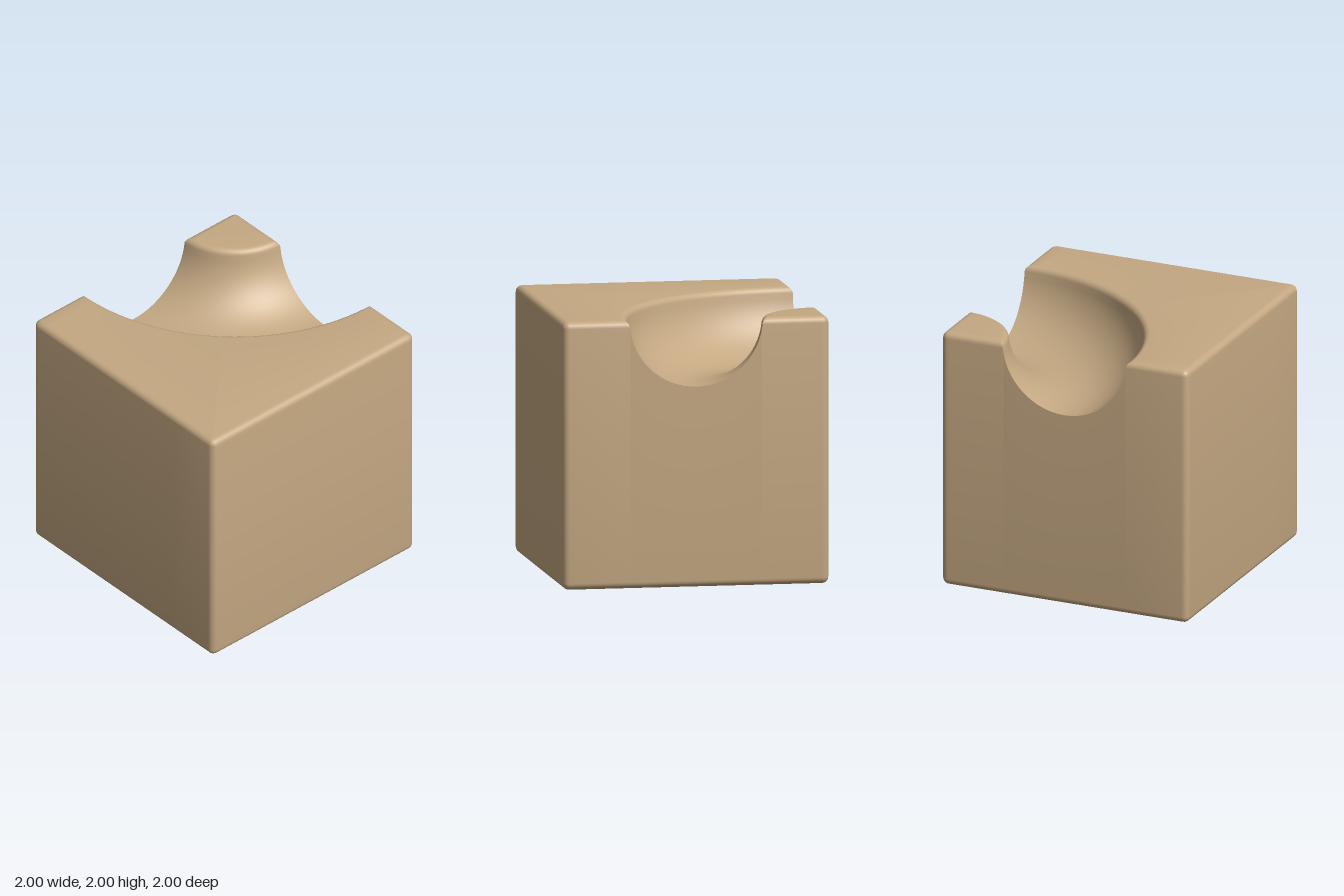
import * as THREE from 'three';
import { toCreasedNormals } from 'three/addons/utils/BufferGeometryUtils.js';

const EDGE = 0.05;                 // rounding of block edges and groove lips
const R = 0.5;                     // groove radius; its centre line is a quarter circle of radius 1
const LIP = Math.sqrt((R + EDGE) ** 2 - EDGE ** 2);   // offset where the lip meets the flat top
const WALL = (R * LIP) / (R + EDGE);                  // offset where the lip meets the groove

// Height of the groove cut at distance r from the back corner
function cutHeight(r) {
  const o = Math.abs(r - 1);
  if (o >= LIP - 1e-9) return Infinity;
  if (o > WALL) return 2 - EDGE + Math.sqrt(EDGE ** 2 - (LIP - o) ** 2);
  return 2 - Math.sqrt(R * R - o * o);
}

// Offsets from the groove centre line, from its bottom out to the lip
function grooveOffsets() {
  const list = [];
  const tilt = Math.asin(EDGE / (R + EDGE));
  for (let i = 0; i <= 16; i++) list.push(R * Math.sin((i / 16) * (Math.PI / 2 - tilt)));
  for (let i = 1; i <= 6; i++) {
    const a = Math.PI - tilt + (i / 6) * (tilt - Math.PI / 2);
    list.push(LIP + EDGE * Math.cos(a));
  }
  return list;
}

// Rounds the cube point (x, y, z measured from the back right bottom corner) and cuts the groove
function surfacePoint(x, y, z) {
  const q = new THREE.Vector3(x, y, z);
  const core = q.clone().clampScalar(EDGE, 2 - EDGE);
  const p = q.clone().sub(core).normalize().multiplyScalar(EDGE).add(core);
  p.y = Math.min(p.y, cutHeight(Math.hypot(x, z)));
  return p.set(p.x - 1, p.y, p.z - 1);
}

// Adds a grid of triangles to the list, skipping collapsed ones
function addPatch(out, nu, nv, point) {
  const grid = [];
  for (let i = 0; i < nu; i++) {
    grid.push([]);
    for (let j = 0; j < nv; j++) grid[i].push(surfacePoint(...point(i, j)));
  }
  const tri = new THREE.Triangle();
  const add = (a, b, c) => {
    if (tri.set(a, b, c).getArea() < 1e-9) return;
    for (const p of [a, b, c]) out.push(p.x, p.y, p.z);
  };
  for (let i = 0; i < nu - 1; i++) {
    for (let j = 0; j < nv - 1; j++) {
      const a = grid[i][j], b = grid[i + 1][j], c = grid[i + 1][j + 1], d = grid[i][j + 1];
      add(a, b, c);
      add(a, c, d);
    }
  }
}

// Angles across the top for a ring of size s, denser near the block's edges
function ringAngles(s) {
  const q = Math.PI / 4;
  const a = s > 0 ? Math.min(Math.asin(Math.min(1, EDGE / s)), q) : q;
  const b = Math.max(a, Math.atan((2 - EDGE) / 2));
  const half = [0, a / 2];
  for (let i = 0; i <= 18; i++) half.push(a + (b - a) * (i / 18));
  half.push((b + q) / 2);
  return [...half, q, ...half.map((t) => 2 * q - t).reverse()];
}

function blockGeometry() {
  const offsets = grooveOffsets();
  const rim = [0, EDGE / 4, EDGE / 2, EDGE * 0.75, EDGE];
  const farRim = rim.map((d) => 2 - d).reverse();
  const rings = [
    ...rim, EDGE * Math.SQRT2, 0.12, 0.28,
    ...offsets.slice(1).reverse().map((o) => 1 - o),
    ...offsets.map((o) => 1 + o),
    ...farRim,
  ];
  const rows = [...rim, ...farRim];
  const angles = rings.map(ringAngles);
  const n = rings.length, m = rows.length;
  const out = [];

  // top with the curved groove: round rings that turn square at the outer rim
  addPatch(out, angles[0].length, n, (i, j) => {
    const t = angles[j][i];
    const c = Math.cos(t), s = Math.sin(t);
    const k = rings[j] >= 2 - EDGE - 1e-9 ? rings[j] / Math.max(c, s) : rings[j];
    return [Math.max(0, k * c), 2, Math.max(0, k * s)];
  });
  // back, front, right, left and bottom faces
  addPatch(out, m, n, (i, j) => [rings[j], rows[i], 0]);
  addPatch(out, n, m, (i, j) => [rings[i], rows[j], 2]);
  addPatch(out, n, m, (i, j) => [0, rows[j], rings[i]]);
  addPatch(out, m, n, (i, j) => [2, rows[i], rings[j]]);
  addPatch(out, m, m, (i, j) => [rows[i], 0, rows[j]]);

  const geometry = new THREE.BufferGeometry();
  geometry.setAttribute('position', new THREE.Float32BufferAttribute(out, 3));
  // enlarged while creasing so that close points stay distinct
  geometry.scale(100, 100, 100);
  const creased = toCreasedNormals(geometry, 0.6);
  creased.scale(0.01, 0.01, 0.01);
  return creased;
}

export function createModel() {
  const wood = new THREE.MeshStandardMaterial({ color: 0xc4a882 });
  wood.name = 'wood';
  const block = new THREE.Mesh(blockGeometry(), wood);
  block.name = 'curvedTrackBlock';
  const model = new THREE.Group();
  model.name = 'curvedTrack';
  model.add(block);
  return model;
}
